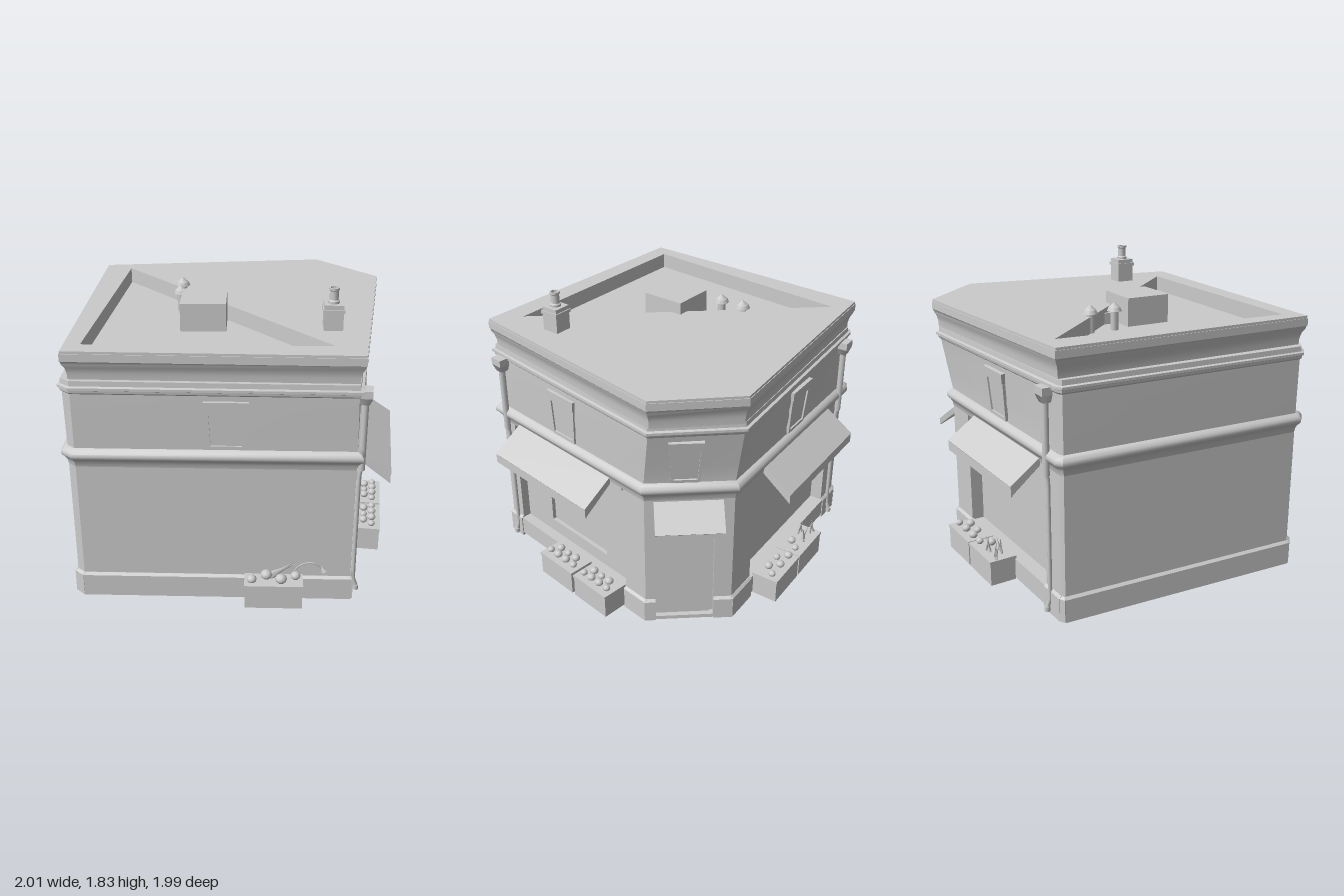
import * as THREE from 'three';
import { toCreasedNormals } from 'three/addons/utils/BufferGeometryUtils.js';

const grey = new THREE.MeshStandardMaterial({ color: 0xcccccc, side: THREE.DoubleSide });

// Footprints as [x, z], running front -> right -> corner -> back -> left
const LOWER = [[-0.965, 0.81], [-0.92, 0.85], [0.68, 0.865], [0.835, -0.44], [0.49, -0.83], [-0.905, -0.735], [-0.93, -0.72]];
const UPPER = [[-0.97, 0.81], [-0.92, 0.85], [0.67, 0.88], [0.87, -0.505], [0.51, -0.89], [-0.9, -0.735], [-0.925, -0.72]];
const ROOF = [[-0.96, 0.86], [0.7, 0.895], [0.912, -0.53], [0.53, -0.925], [-0.93, -0.76]];
const FRONT = 1, RIGHT = 2, CORNER = 3, BACK = 4;

// Wall outline at a height: the upper storey leans outwards
function outline(y) {
  const t = THREE.MathUtils.clamp((y - 1) / 0.36, 0, 1);
  return LOWER.map(([x, z], i) => [x + (UPPER[i][0] - x) * t, z + (UPPER[i][1] - z) * t]);
}

function normalOf(p, q) {
  const l = Math.hypot(q[0] - p[0], q[1] - p[1]);
  return [-(q[1] - p[1]) / l, (q[0] - p[0]) / l];
}

// Push a footprint outwards with mitred corners
function offset(poly, d) {
  const n = poly.length;
  return poly.map((p, i) => {
    const a = normalOf(poly[(i + n - 1) % n], p), b = normalOf(p, poly[(i + 1) % n]);
    const k = d / (1 + a[0] * b[0] + a[1] * b[1]);
    return [p[0] + (a[0] + b[0]) * k, p[1] + (a[1] + b[1]) * k];
  });
}

function mesh(parent, name, geometry, x = 0, y = 0, z = 0) {
  const m = new THREE.Mesh(geometry, grey);
  m.name = name;
  m.position.set(x, y, z);
  parent.add(m);
  return m;
}

// Sweep a profile of [y, outset] around a footprint
function band(parent, name, polyAt, profile) {
  const rings = profile.map(([y, d]) => offset(polyAt(y), d).map(([x, z]) => [x, y, z]));
  const pos = [];
  for (let r = 0; r < rings.length - 1; r++) {
    for (let i = 0, n = rings[r].length; i < n; i++) {
      const j = (i + 1) % n, a = rings[r], b = rings[r + 1];
      pos.push(...a[i], ...a[j], ...b[j], ...a[i], ...b[j], ...b[i]);
    }
  }
  const g = new THREE.BufferGeometry();
  g.setAttribute('position', new THREE.Float32BufferAttribute(pos, 3));
  mesh(parent, name, toCreasedNormals(g, 0.6));
}

// Group on a wall: local x along it, y up, z outwards
function wallFrame(root, name, i, y = 0) {
  const at = h => { const w = outline(h); return [w[i], w[(i + 1) % w.length]]; };
  const [p, q] = at(y), [p2, q2] = at(y + 0.1), n = normalOf(p, q);
  const lean = ((p2[0] + q2[0] - p[0] - q[0]) * n[0] + (p2[1] + q2[1] - p[1] - q[1]) * n[1]) / 2;
  const g = new THREE.Group();
  g.name = name;
  g.position.set(p[0], y, p[1]);
  g.rotation.set(Math.atan2(lean, 0.1), Math.atan2(p[1] - q[1], q[0] - p[0]), 0, 'YXZ');
  g.userData.length = Math.hypot(q[0] - p[0], q[1] - p[1]);
  root.add(g);
  return g;
}

const vectors = pts => pts.map(p => new THREE.Vector2(...p));
const shapeOf = pts => new THREE.Shape(vectors(pts));
const extrude = (shape, depth) => new THREE.ExtrudeGeometry(shape, { depth, bevelEnabled: false });
const box = (g, name, x0, x1, y0, y1, z0, z1) =>
  mesh(g, name, new THREE.BoxGeometry(x1 - x0, y1 - y0, z1 - z0), (x0 + x1) / 2, (y0 + y1) / 2, (z0 + z1) / 2);

// Ground-floor wall with plinth, and an optional opening [u0, u1, top] down to the ground
function groundWall(g, opening, depth) {
  const L = g.userData.length;
  const pts = [[0, 0], [L, 0], [L, 0.95], [0, 0.95]];
  let spans = [[-0.008, L + 0.008]];
  if (opening) {
    const [a, b, top] = opening;
    pts.splice(1, 0, [a, 0], [a, top], [b, top], [b, 0]);
    spans = [[-0.008, a], [b, L + 0.008]];
    box(g, 'openingBack', a, b, 0, top, -depth - 0.01, -depth);
    mesh(g, 'wall', extrude(shapeOf(pts), depth), 0, 0, -depth);
  } else {
    mesh(g, 'wall', new THREE.ShapeGeometry(shapeOf(pts)));
  }
  const section = shapeOf([[0, 0], [0.018, 0], [0.018, 0.142], [0.002, 0.155], [0, 0.155]]);
  for (const [a, b] of spans) mesh(g, 'plinth', extrude(section, b - a), b, 0, 0).rotation.y = -Math.PI / 2;
}

// Sloping canopy with a hanging edge
function awning(g, u0, u1, out, top, low, hem) {
  const a = new THREE.Group();
  a.name = 'awning';
  g.add(a);
  const d = top - low;
  const sheet = mesh(a, 'canopy', new THREE.BoxGeometry(u1 - u0, 0.01, Math.hypot(out, d)), (u0 + u1) / 2, (top + low) / 2, out / 2);
  sheet.rotation.x = Math.atan2(d, out);
  box(a, 'valance', u0, u1, hem, low, out - 0.008, out);
  for (const u of [u0, u1 - 0.006]) {
    const side = shapeOf([[0, top], [-out, low], [-out, hem], [0, top - 0.04]]);
    mesh(a, 'awningSide', extrude(side, 0.006), u, 0, 0).rotation.y = Math.PI / 2;
  }
}

// Planter trough with a row of flowers; a grassy one has blades at its far end
function planter(g, u0, u1, depth, count, size, grass) {
  const p = new THREE.Group();
  p.name = 'planter';
  g.add(p);
  box(p, 'trough', u0, u1, 0.01, 0.15, 0.01, depth - 0.004);
  box(p, 'rim', u0 - 0.004, u1 + 0.004, 0.15, 0.168, 0.006, depth);
  for (let i = 0; i < count; i++) {
    const x = u0 + 0.04 + (u1 - u0 - 0.08) * i / (count - 1), z = depth * (i % 2 ? 0.38 : 0.68);
    if (grass && i > 1) {
      for (let k = 0; k < 3; k++) {
        const blade = mesh(p, 'blade', new THREE.ConeGeometry(0.009, 0.12, 4), x + k * 0.012, 0.21, z);
        blade.rotation.set(0.25 * Math.cos(i * 2 + k), 0, 0.4 * Math.sin(i * 3 + k * 2));
      }
    } else {
      const r = size * (i % 3 ? 1 : 0.85);
      mesh(p, 'flower', new THREE.IcosahedronGeometry(r, 1), x, 0.165 + r * 0.85, z).scale.y = 0.85;
    }
  }
}

// Tapered upstairs window with a lintel
function upperWindow(root, i, u, s) {
  const g = wallFrame(root, 'upperWindow', i, 1.0);
  const frame = shapeOf([[-0.105 * s, 0.01], [0.105 * s, 0.01], [0.117 * s, 0.25], [-0.117 * s, 0.25]]);
  frame.holes.push(new THREE.Path(vectors([[-0.088 * s, 0.03], [-0.1 * s, 0.24], [0.1 * s, 0.24], [0.088 * s, 0.03]])));
  mesh(g, 'frame', extrude(frame, 0.018), u, 0, -0.004);
  box(g, 'pane', u - 0.1 * s, u + 0.1 * s, 0.02, 0.245, -0.01, 0.004);
  mesh(g, 'lintel', extrude(shapeOf([[-0.12 * s, 0.245], [0.12 * s, 0.245], [0.127 * s, 0.305], [-0.127 * s, 0.305]]), 0.024), u, 0, -0.004);
}

// Rainwater pipe: hopper, wide upper length, slim lower length with a foot
function drainpipe(root, i, u) {
  const g = wallFrame(root, 'drainpipe', i);
  box(g, 'hopper', u - 0.043, u + 0.043, 1.315, 1.36, -0.01, 0.065);
  mesh(g, 'hopperFunnel', new THREE.CylinderGeometry(0.058, 0.035, 0.045, 4).rotateY(Math.PI / 4), u, 1.2925, 0.024);
  mesh(g, 'upperPipe', new THREE.CylinderGeometry(0.02, 0.02, 0.43, 10), u, 1.065, 0.026);
  const path = [[0.86, 0.026], [0.8, 0.016], [0.12, 0.016], [0.06, 0.03], [0.025, 0.035]].map(([y, z]) => new THREE.Vector3(u, y, z));
  mesh(g, 'lowerPipe', new THREE.TubeGeometry(new THREE.CatmullRomCurve3(path, false, 'catmullrom', 0.2), 24, 0.013, 8));
  mesh(g, 'pipeFoot', new THREE.CylinderGeometry(0.017, 0.017, 0.03, 10), u, 0.035, 0.035);
}

export function createModel() {
  const root = new THREE.Group();
  root.name = 'cornerShop';

  // Ground floor
  const openings = { [RIGHT]: [0.11, 1.14, 0.92], [CORNER]: [0.06, 0.41, 0.665], [BACK]: [0.22, 1.23, 0.92] };
  const walls = LOWER.map((_, i) => {
    const g = wallFrame(root, 'groundFloorWall', i);
    groundWall(g, openings[i], i === CORNER ? 0.03 : 0.08);
    return g;
  });

  // Upper storey, mouldings and cornice
  band(root, 'beltCourse', outline, [[0.88, 0], [0.91, 0.006], [0.93, 0.018], [0.945, 0.033], [0.96, 0.037], [0.975, 0.034], [0.99, 0.02], [1.0, 0]]);
  band(root, 'upperWall', outline, [[0.95, 0], [1.0, 0], [1.12, 0], [1.24, 0], [1.36, 0]]);
  band(root, 'upperMoulding', outline, [[1.335, 0], [1.345, 0.01], [1.36, 0.012], [1.365, 0.022], [1.38, 0.022], [1.385, 0.006], [1.415, 0.004], [1.415, -0.1]]);
  band(root, 'cornice', () => ROOF, [[1.405, -0.12], [1.405, -0.032], [1.45, -0.03], [1.485, -0.022], [1.51, -0.008],
    [1.525, -0.005], [1.53, 0], [1.575, 0], [1.575, -0.004], [1.59, -0.004], [1.59, -0.035]]);

  // Roof slab with a triangular well
  const well = [[-0.76, -0.68], [-0.86, 0.75], [0.54, 0.75]];
  const flat = ([x, z]) => [x, -z];
  const slab = shapeOf(offset(ROOF, -0.03).map(flat));
  slab.holes.push(new THREE.Path(vectors(well.map(flat))));
  mesh(root, 'roofSlab', extrude(slab, 0.1).rotateX(-Math.PI / 2), 0, 1.49, 0);
  mesh(root, 'roofWellFloor', new THREE.ShapeGeometry(shapeOf(well.map(flat))).rotateX(-Math.PI / 2), 0, 1.492, 0);

  // Roof fittings
  box(root, 'roofBox', -0.35, -0.075, 1.49, 1.665, 0, 0.28);
  box(root, 'roofDuct', -0.23, -0.21, 1.49, 1.56, -0.1, 0);
  for (const z of [-0.265, -0.105]) {
    mesh(root, 'ventStem', new THREE.CylinderGeometry(0.025, 0.025, 0.12, 8), -0.37, 1.55, z);
    mesh(root, 'ventCap', new THREE.CylinderGeometry(0.036, 0.046, 0.022, 8), -0.37, 1.617, z);
    mesh(root, 'ventTip', new THREE.ConeGeometry(0.036, 0.03, 8), -0.37, 1.643, z);
  }
  box(root, 'chimney', 0.488, 0.598, 1.57, 1.74, 0.405, 0.515);
  box(root, 'chimneyBand', 0.481, 0.605, 1.695, 1.715, 0.398, 0.522);
  const pot = [[0.033, 0], [0.033, 0.015], [0.026, 0.022], [0.026, 0.075], [0.031, 0.08], [0.031, 0.092], [0.022, 0.092], [0.022, 0.02]];
  mesh(root, 'chimneyPot', toCreasedNormals(new THREE.LatheGeometry(vectors(pot), 14), 0.6), 0.543, 1.738, 0.46);

  // Upstairs windows and drainpipes
  upperWindow(root, FRONT, 0.862, 1);
  upperWindow(root, RIGHT, 0.635, 0.95);
  upperWindow(root, CORNER, 0.235, 0.78);
  upperWindow(root, BACK, 0.7, 0.95);
  drainpipe(root, RIGHT, 0.068);
  drainpipe(root, BACK, 1.3);

  // Shopfronts
  awning(walls[RIGHT], 0.17, 1.03, 0.2, 0.905, 0.775, 0.715);
  awning(walls[BACK], 0.33, 1.185, 0.185, 0.905, 0.775, 0.715);
  awning(walls[CORNER], 0.055, 0.455, 0.15, 0.87, 0.745, 0.71);
  for (const i of [RIGHT, BACK]) {
    const [a, b] = openings[i];
    box(walls[i], 'stallRiser', a, b, 0.02, 0.145, -0.08, 0.012);
    box(walls[i], 'awningBracket', b - 0.065, b - 0.035, 0.84, 0.87, -0.08, -0.02);
  }

  // Inset shop window and corner door
  const surround = shapeOf([[0.11, 0.145], [1.14, 0.145], [1.14, 0.92], [0.11, 0.92]]);
  surround.holes.push(new THREE.Path(vectors([[0.37, 0.235], [0.37, 0.665], [0.905, 0.665], [0.905, 0.235]])));
  mesh(walls[RIGHT], 'shopWindowSurround', extrude(surround, 0.025), 0, 0, -0.08);
  box(walls[CORNER], 'door', 0.06, 0.385, 0.03, 0.66, -0.03, -0.015);
  box(walls[CORNER], 'doorStep', 0.06, 0.41, 0, 0.025, -0.03, 0.01);

  // Planters
  planter(walls[RIGHT], 0.52, 0.82, 0.175, 7, 0.027);
  planter(walls[RIGHT], 0.845, 1.135, 0.175, 7, 0.027);
  planter(walls[BACK], 0.25, 0.545, 0.18, 5, 0.027);
  planter(walls[BACK], 0.56, 0.86, 0.18, 5, 0.027, true);
  planter(walls[FRONT], 0.97, 1.31, 0.135, 4, 0.035);
  const stem = [[1.25, 0.17], [1.29, 0.24], [1.37, 0.265], [1.43, 0.225]].map(([x, y]) => new THREE.Vector3(x, y, 0.025));
  mesh(walls[FRONT], 'droopingStem', new THREE.TubeGeometry(new THREE.CatmullRomCurve3(stem), 14, 0.005, 5));
  mesh(walls[FRONT], 'bloom', new THREE.ConeGeometry(0.02, 0.045, 7), 1.43, 0.225, 0.025).rotation.z = 0.5;
  for (const t of [0.9, 1.1]) mesh(walls[FRONT], 'leaf', new THREE.ConeGeometry(0.02, 0.18, 5), 1.19, 0.225, 0.04).rotation.z = -t;
  return root;
}
